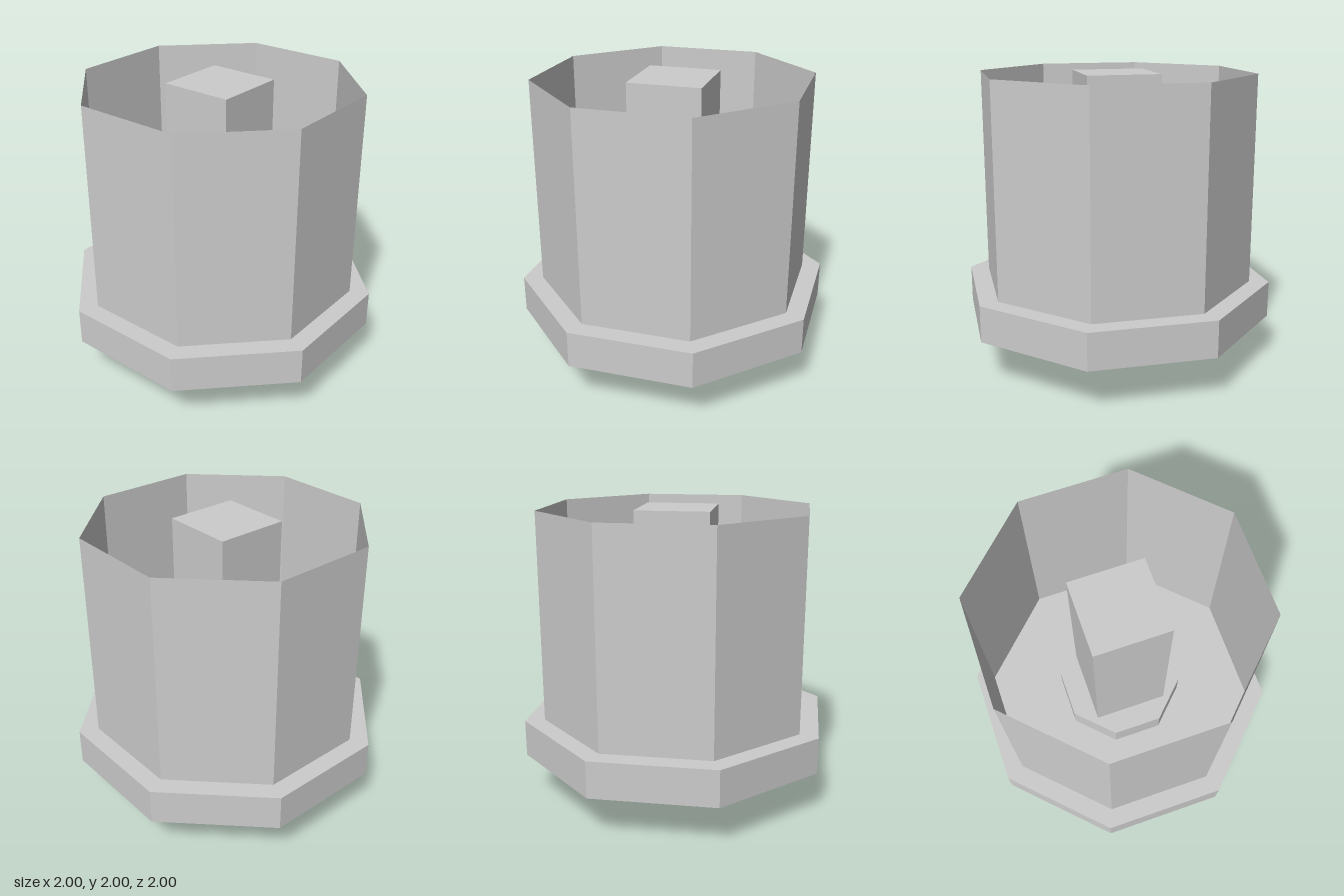
import * as THREE from 'three';

const solid = new THREE.MeshStandardMaterial({ color: 0xcccccc, flatShading: true });
const thin = new THREE.MeshStandardMaterial({ color: 0xcccccc, flatShading: true, side: THREE.DoubleSide });

export function createModel() {
  const model = new THREE.Group();

  const add = (name, geometry, bottom, top, material = solid) => {
    const mesh = new THREE.Mesh(geometry, material);
    mesh.name = name;
    mesh.position.y = (bottom + top) / 2;
    model.add(mesh);
  };

  // Square block, given its width
  const block = (name, width, bottom, top) =>
    add(name, new THREE.BoxGeometry(width, top - bottom, width), bottom, top);

  // Octagonal prism with flat sides facing the axes, given its half width
  const octagon = (name, halfWidth, bottom, top, open = false) => {
    const r = halfWidth / Math.cos(Math.PI / 8);
    const geometry = new THREE.CylinderGeometry(r, r, top - bottom, 8, 1, open, Math.PI / 8);
    add(name, geometry, bottom, top, open ? thin : solid);
  };

  // Underside: peg and square plate
  block('bottomPeg', 0.5, 0, 0.25);
  block('basePlate', 1, 0.25, 0.3125);

  // Wide flange, which is also the floor of the cup
  octagon('flange', 1, 0.3125, 0.5625);

  // Thin open shell
  octagon('shell', 0.875, 0.5625, 2, true);

  // Collar and square post inside the shell
  octagon('innerCollar', 0.4, 0.5625, 0.75);
  block('centerPost', 0.5, 0.75, 2);

  return model;
}
